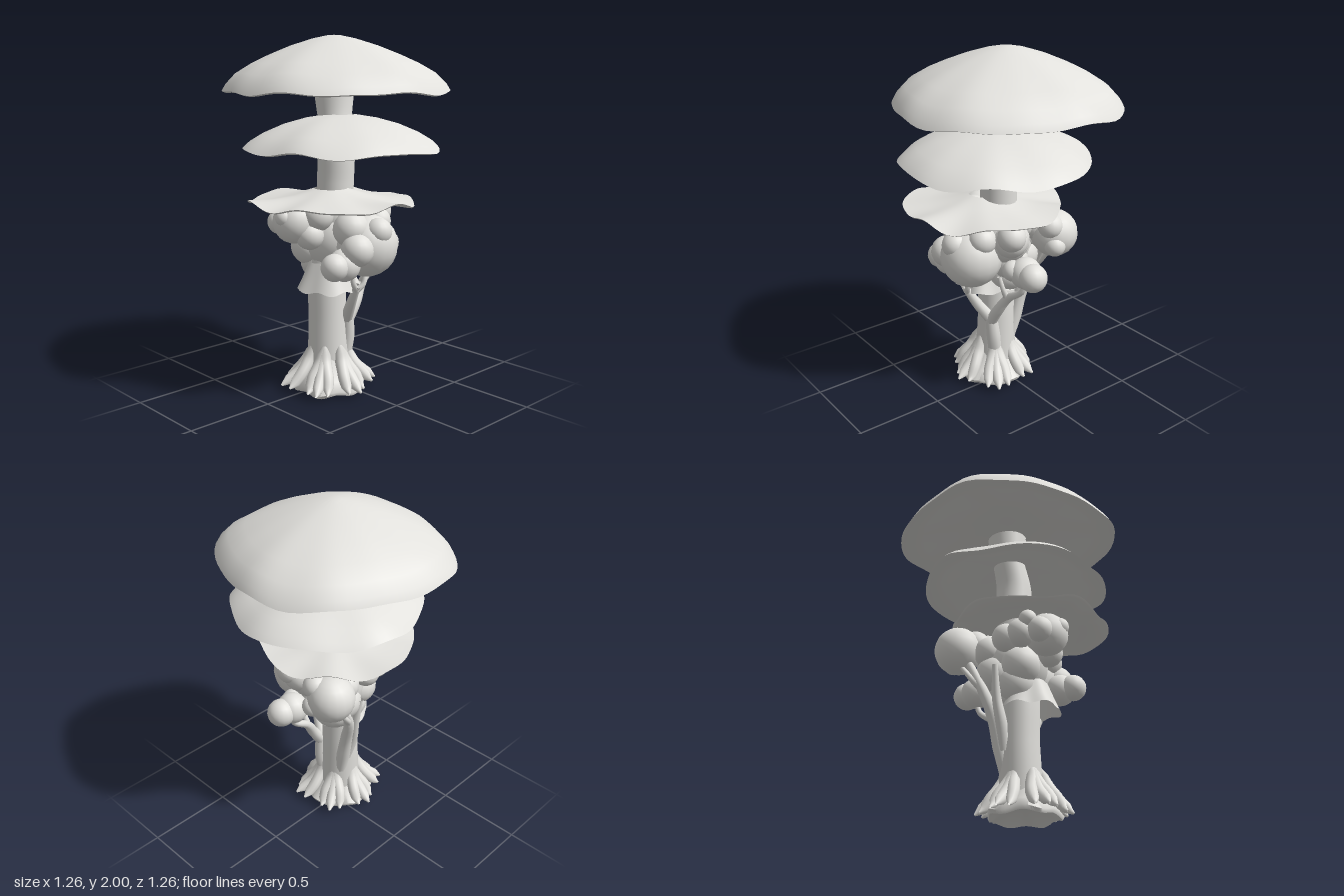
import * as THREE from 'three';
import { mergeVertices, toCreasedNormals } from 'three/addons/utils/BufferGeometryUtils.js';

const clay = new THREE.MeshStandardMaterial({ color: 0xe2e1dd, side: THREE.DoubleSide });
clay.name = 'paleClay';

function add(parent, geometry, name, x = 0, y = 0, z = 0) {
  const mesh = new THREE.Mesh(geometry, clay);
  mesh.name = name;
  mesh.position.set(x, y, z);
  parent.add(mesh);
  return mesh;
}

// Tube through points with a radius given at even steps along it
function limb(points, radii, sides = 12, steps = 24) {
  const curve = new THREE.CatmullRomCurve3(points.map(p => new THREE.Vector3(...p)));
  const geo = new THREE.TubeGeometry(curve, steps, 1, sides, false);
  const pos = geo.attributes.position, v = new THREE.Vector3();
  for (let i = 0; i < pos.count; i++) {
    const t = Math.floor(i / (sides + 1)) / steps;
    const c = curve.getPointAt(t);
    const f = t * (radii.length - 1), k = Math.min(Math.floor(f), radii.length - 2);
    const r = THREE.MathUtils.lerp(radii[k], radii[k + 1], f - k);
    v.fromBufferAttribute(pos, i).sub(c).multiplyScalar(r).add(c);
    pos.setXYZ(i, v.x, v.y, v.z);
  }
  return geo;
}

// Revolved shell whose outline and height ripple with the angle, mostly near the rim
function rippled(profile, outline, ripple) {
  const geo = new THREE.LatheGeometry(profile.map(p => new THREE.Vector2(...p)), 72);
  const pos = geo.attributes.position;
  const rim = Math.max(...profile.map(p => p[0]));
  for (let i = 0; i < pos.count; i++) {
    const x = pos.getX(i), z = pos.getZ(i), t = Math.hypot(x, z) / rim;
    const a = Math.atan2(z, x), s = 1 + outline(a) * t;
    pos.setXYZ(i, x * s, pos.getY(i) + ripple(a) * t ** 3, z * s);
  }
  geo.deleteAttribute('normal');
  geo.deleteAttribute('uv');
  return toCreasedNormals(mergeVertices(geo, 1e-4), 1.2);
}

export function createModel() {
  const model = new THREE.Group();
  model.name = 'mushroomTree';
  const cos = Math.cos;

  // Three stacked caps
  add(model, rippled(
    [[0, 1.85], [0.1, 1.85], [0.3, 1.79], [0.5, 1.725], [0.61, 1.688], [0.626, 1.694],
      [0.605, 1.732], [0.55, 1.79], [0.46, 1.845], [0.36, 1.893], [0.24, 1.942], [0.12, 1.98], [0.04, 1.997], [0, 2]],
    a => 0.036 * cos(4 * (a - 1.17)),
    a => 0.007 * cos(7 * a) + 0.005 * cos(11 * a + 1)), 'topCap');
  add(model, rippled(
    [[0.09, 1.53], [0.25, 1.48], [0.4, 1.42], [0.51, 1.378], [0.535, 1.385],
      [0.5, 1.42], [0.43, 1.465], [0.32, 1.515], [0.2, 1.55], [0.09, 1.568], [0.07, 1.57]],
    a => 0.025 * cos(5 * a + 0.6),
    a => 0.011 * cos(6 * a + 2) + 0.005 * cos(9 * a)), 'middleCap', -0.005, 0, 0.065);
  add(model, rippled(
    [[0.09, 1.15], [0.2, 1.115], [0.32, 1.1], [0.44, 1.097], [0.45, 1.105],
      [0.32, 1.115], [0.2, 1.135], [0.12, 1.16], [0.09, 1.17]],
    a => 0.03 * cos(5 * a + 1),
    a => 0.014 * cos(6 * a - 2.6) + 0.008 * cos(9 * a)), 'lowerCap', -0.1, 0, 0.08);

  // Trunk and the stem running up through the caps
  add(model, limb([[-0.07, 0.06, 0.03], [-0.07, 0.4, 0.02], [-0.07, 0.72, 0.02], [-0.03, 1, 0.03],
    [-0.022, 1.2, 0.035], [-0.02, 1.38, 0.04], [-0.004, 1.56, 0.01], [0, 1.71, 0]],
  [0.13, 0.115, 0.108, 0.11, 0.115, 0.105, 0.104, 0.104, 0.092, 0.114], 28, 48), 'trunk');
  const stemTop = add(model, new THREE.CircleGeometry(0.114, 28), 'stemTop', 0, 1.71, 0);
  stemTop.rotation.x = -Math.PI / 2;

  // Skirt hanging under the foliage
  add(model, rippled([[0.175, 0.605], [0.15, 0.66], [0.13, 0.71], [0.11, 0.76]],
    a => 0.06 * cos(5 * a + 1.5), a => 0.008 * cos(7 * a)), 'skirt', -0.1, 0, 0.065);

  // Flared base and clusters of roots
  add(model, rippled([[0, 0.07], [0.13, 0.045], [0.19, 0.01], [0.2, 0.03], [0.16, 0.08], [0.12, 0.15], [0.1, 0.2]],
    a => 0.05 * cos(5 * a), a => 0.01 * cos(6 * a)), 'rootBase', -0.08, 0, 0.04);
  const roots = new THREE.Group();
  roots.name = 'roots';
  model.add(roots);
  for (let c = 0; c < 6; c++) {
    for (let k = -1; k <= 1; k++) {
      const mid = c * Math.PI / 3 + 0.5, a = mid + k * 0.25;
      const reach = 0.245 - 0.025 * Math.abs(k) + 0.012 * cos(c * 2.1);
      const at = (r, y, ang) => [-0.08 + r * cos(ang), y, 0.04 + r * Math.sin(ang)];
      add(roots, limb([at(0.085, 0.27, mid), at(0.115, 0.19, mid + k * 0.1), at(0.175, 0.11, a), at(reach, 0.05, a), at(reach + 0.02, 0.035, a)],
        [0.015, 0.034, 0.037, 0.034, 0.034, 0.03, 0.006], 10, 18), 'root');
    }
  }

  // Branches with small twigs
  const branches = new THREE.Group();
  branches.name = 'branches';
  model.add(branches);
  const paths = [
    [[[0.0, 0.17, 0.08], [0.01, 0.3, 0.1], [0.0, 0.44, 0.11]], [0.04, 0.042, 0.036]],
    [[[0.0, 0.4, 0.1], [-0.04, 0.52, 0.18], [-0.06, 0.64, 0.25]], [0.036, 0.03, 0.02]],
    [[[-0.055, 0.61, 0.24], [-0.09, 0.66, 0.25], [-0.1, 0.74, 0.25]], [0.018, 0.014, 0.012]],
    [[[-0.055, 0.61, 0.24], [-0.02, 0.65, 0.26], [0.0, 0.74, 0.25]], [0.018, 0.014, 0.012]],
    [[[0.0, 0.4, 0.11], [0.07, 0.5, 0.11], [0.14, 0.6, 0.09], [0.25, 0.68, 0.08], [0.27, 0.76, 0.07]], [0.036, 0.032, 0.026, 0.018, 0.014]],
    [[[0.13, 0.59, 0.09], [0.13, 0.66, 0.12], [0.12, 0.74, 0.14]], [0.02, 0.014, 0.012]],
    [[[-0.02, 0.22, -0.03], [-0.005, 0.38, -0.07], [0.01, 0.54, -0.11], [0.05, 0.7, -0.165], [0.14, 0.88, -0.18]], [0.034, 0.042, 0.036, 0.028, 0.02]],
    [[[-0.03, 0.36, -0.07], [-0.04, 0.5, -0.11], [-0.03, 0.64, -0.14], [-0.04, 0.82, -0.17]], [0.03, 0.032, 0.024, 0.016]],
    [[[0.05, 0.7, -0.165], [0.1, 0.76, -0.19], [0.18, 0.86, -0.2]], [0.024, 0.016, 0.012]],
  ];
  for (const [points, radii] of paths) add(branches, limb(points, radii, 10, 16), 'branch');

  // Round foliage clumps: x, y, z, radius
  const foliage = new THREE.Group();
  foliage.name = 'foliage';
  model.add(foliage);
  const clumps = [
    // front
    [0.01, 0.86, 0.25, 0.175], [-0.13, 0.86, 0.32, 0.09], [0, 0.95, 0.35, 0.075],
    [-0.18, 0.78, 0.27, 0.09], [-0.26, 0.78, 0.28, 0.075], [-0.1, 0.96, 0.24, 0.1], [0.1, 0.98, 0.24, 0.08],
    // side
    [0.27, 0.8, 0.07, 0.09], [0.345, 0.8, 0.08, 0.08], [0.22, 0.81, 0.12, 0.06], [0.22, 1.01, 0.13, 0.08], [0.17, 0.97, 0.1, 0.1],
    // back, largest first
    [0.21, 0.96, -0.18, 0.135], [0.26, 1.03, -0.11, 0.07], [0.14, 1.0, -0.11, 0.085], [0.29, 0.92, -0.12, 0.06],
    [-0.28, 0.99, -0.02, 0.12], [-0.36, 1.02, -0.01, 0.05], [-0.3, 0.98, -0.12, 0.07], [-0.2, 1.03, 0.08, 0.09],
    [-0.24, 0.92, 0.06, 0.08], [-0.19, 0.98, -0.14, 0.08], [-0.1, 0.97, -0.15, 0.08], [-0.25, 1.04, -0.16, 0.05],
    // centre
    [0, 0.71, 0, 0.13], [-0.07, 0.74, -0.03, 0.12], [0.02, 0.8, -0.07, 0.12], [-0.03, 0.88, 0.03, 0.19],
    [-0.06, 1.02, 0.04, 0.13], [0.11, 0.95, 0.08, 0.13], [0.07, 0.8, 0.03, 0.11], [0.04, 0.93, -0.11, 0.09],
    [-0.13, 0.83, -0.06, 0.11], [0.12, 1.02, -0.02, 0.07],
  ];
  for (const [x, y, z, r] of clumps) add(foliage, new THREE.SphereGeometry(r, 18, 12), 'clump', x, y, z);

  return model;
}
